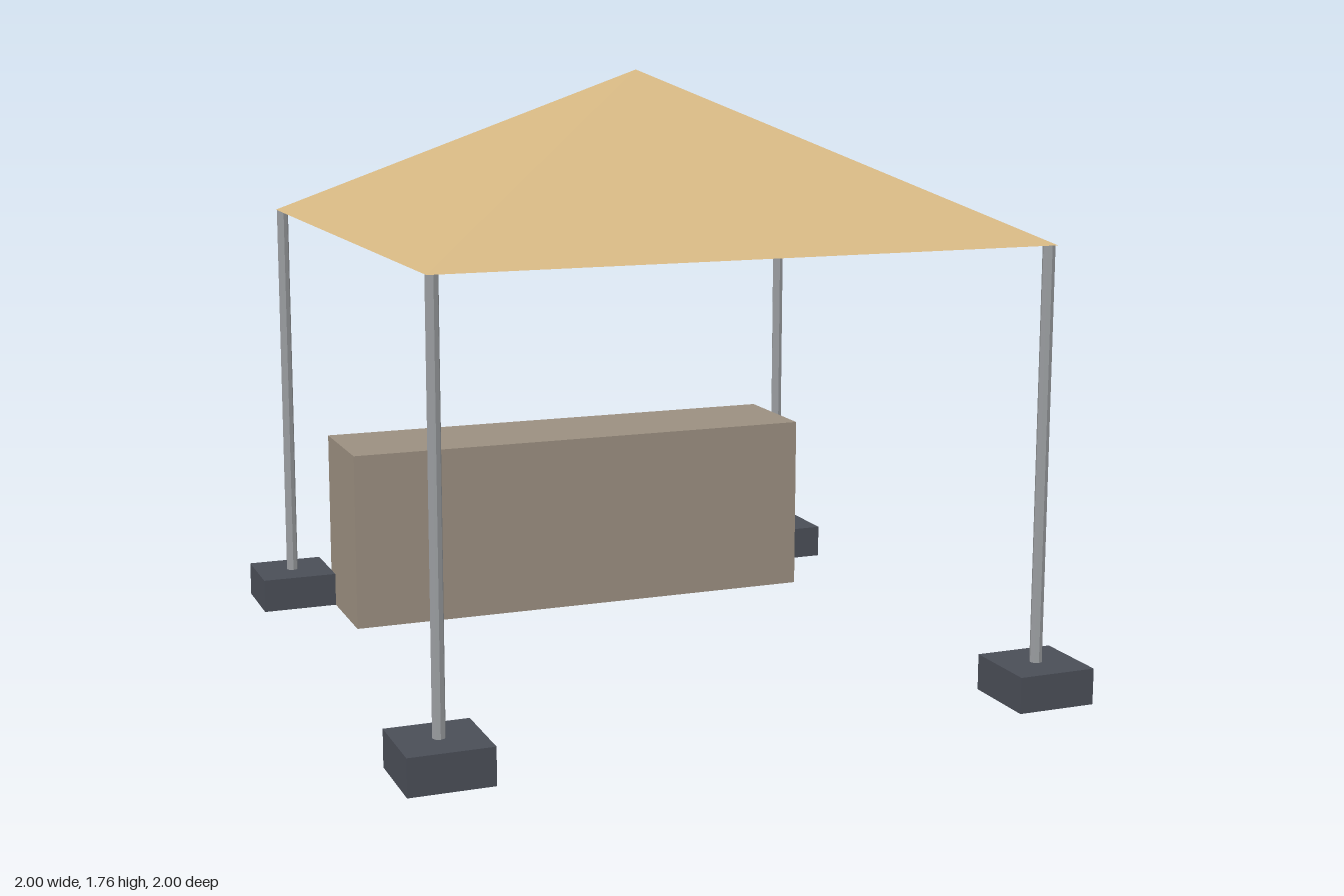
import * as THREE from 'three';

const material = (name, color, flatShading = false) => {
  const m = new THREE.MeshStandardMaterial({ color, flatShading });
  m.name = name;
  return m;
};

export function createModel() {
  const canvas = material('tan canvas', 0xd4b682, true);
  const metal = material('grey metal', 0x9a9da0, true);
  const slate = material('dark slate', 0x4a4e57);
  const stone = material('taupe', 0x9b8f80);

  const model = new THREE.Group();
  model.name = 'canopy';

  const add = (name, geometry, mat, x, y, z) => {
    const mesh = new THREE.Mesh(geometry, mat);
    mesh.name = name;
    mesh.position.set(x, y, z);
    model.add(mesh);
  };

  // Four-sided roof with a closed underside
  const eave = 1.3, apex = 1.765, half = 0.9;
  const roof = new THREE.ConeGeometry(half * Math.SQRT2, apex - eave, 4);
  roof.rotateY(Math.PI / 4);
  add('roof', roof, canvas, 0, (eave + apex) / 2, 0);

  // Weighted feet and thin poles at the corners
  const footSize = 0.235, footHeight = 0.105, corner = 1 - footSize / 2;
  const foot = new THREE.BoxGeometry(footSize, footHeight, footSize);
  const pole = new THREE.CylinderGeometry(0.018, 0.018, eave, 8);
  for (const sx of [-1, 1]) {
    for (const sz of [-1, 1]) {
      const place = (sz > 0 ? 'front' : 'back') + (sx > 0 ? 'Left' : 'Right');
      add(place + 'Foot', foot, slate, sx * corner, footHeight / 2, sz * corner);
      add(place + 'Pole', pole, metal, sx * corner, eave / 2, sz * corner);
    }
  }

  // Counter along the back
  add('counter', new THREE.BoxGeometry(1.53, 0.56, 0.35), stone, 0, 0.28, -0.645);

  return model;
}
